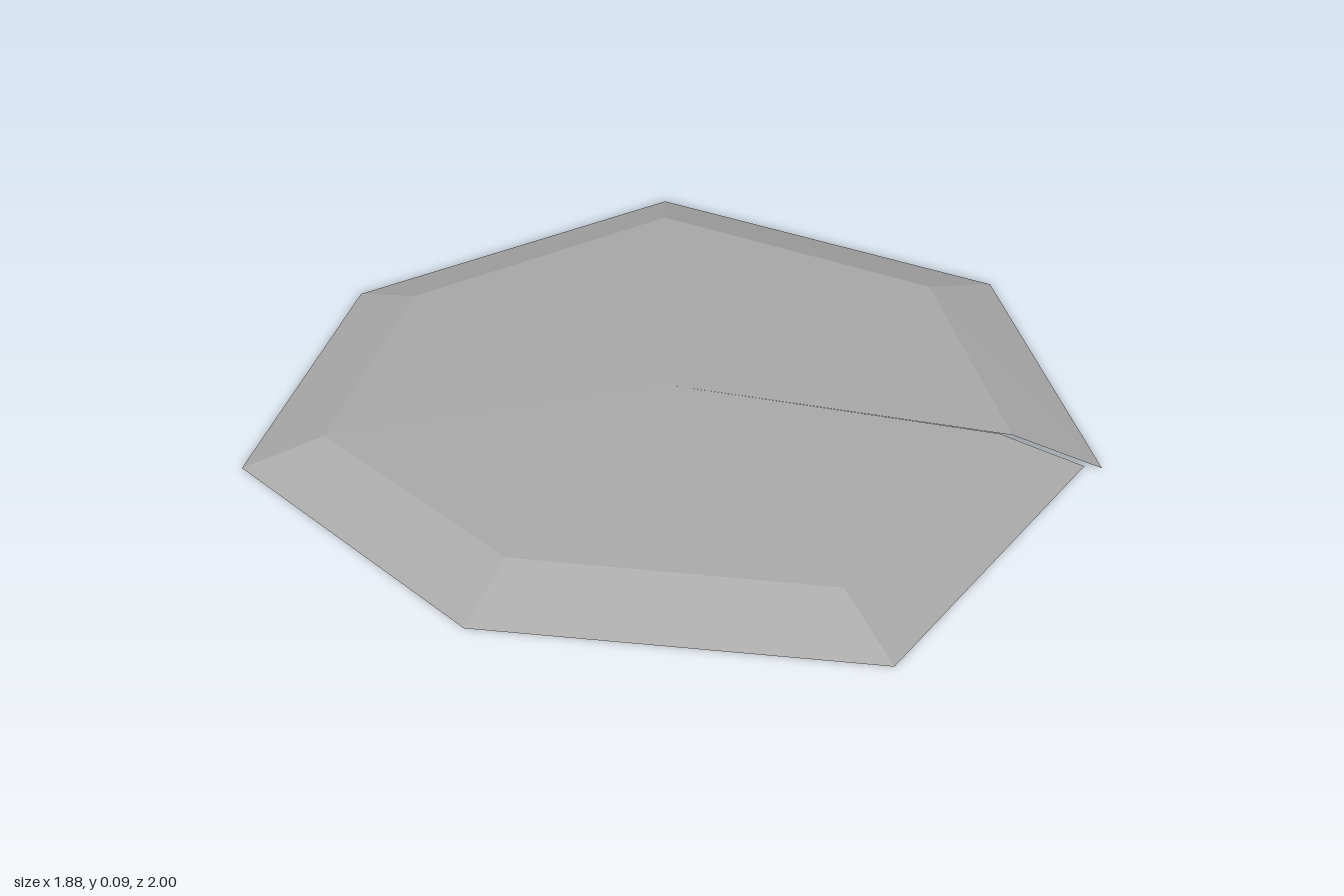
import * as THREE from 'three';

// Rim corners on the ground, running from one lip of the slit round to the other: [x, z]
const RIM = [
  [0.94, 0.08], [0.575, -0.73], [-0.32, -1], [-0.94, -0.34],
  [-0.945, 0.5], [-0.28, 0.995], [0.61, 0.935], [0.9, 0.08],
];
// Shoulder corners where the bevel meets the shallow top: [x, y, z]
const SHOULDER = [
  [0.735, 0.06, 0.08], [0.445, 0.062, -0.57], [-0.27, 0.065, -0.785], [-0.77, 0.06, -0.255],
  [-0.775, 0.06, 0.42], [-0.24, 0.065, 0.815], [0.475, 0.064, 0.77], [0.705, 0.06, 0.08],
];
const APEX = [-0.07, 0.09, 0.08];

// Flat-shaded mesh from a list of triangles
function facetMesh(name, triangles, material) {
  const geometry = new THREE.BufferGeometry();
  geometry.setAttribute('position', new THREE.Float32BufferAttribute(triangles.flat(2), 3));
  geometry.computeVertexNormals();
  const mesh = new THREE.Mesh(geometry, material);
  mesh.name = name;
  return mesh;
}

export function createModel() {
  const grey = new THREE.MeshStandardMaterial({
    name: 'stone grey', color: 0xaaaaaa, flatShading: true, side: THREE.DoubleSide,
  });
  const rim = RIM.map(([x, z]) => [x, 0, z]);
  const top = [];
  const bevel = [];

  // Seven segments; first and last stay unjoined, leaving the slit
  for (let i = 0; i < rim.length - 1; i++) {
    top.push([APEX, SHOULDER[i], SHOULDER[i + 1]]);
    bevel.push([SHOULDER[i], rim[i], SHOULDER[i + 1]]);
    bevel.push([rim[i], rim[i + 1], SHOULDER[i + 1]]);
  }

  const model = new THREE.Group();
  model.name = 'shallowFacetedShell';
  model.add(facetMesh('shallowTop', top, grey), facetMesh('bevelledRim', bevel, grey));
  return model;
}
